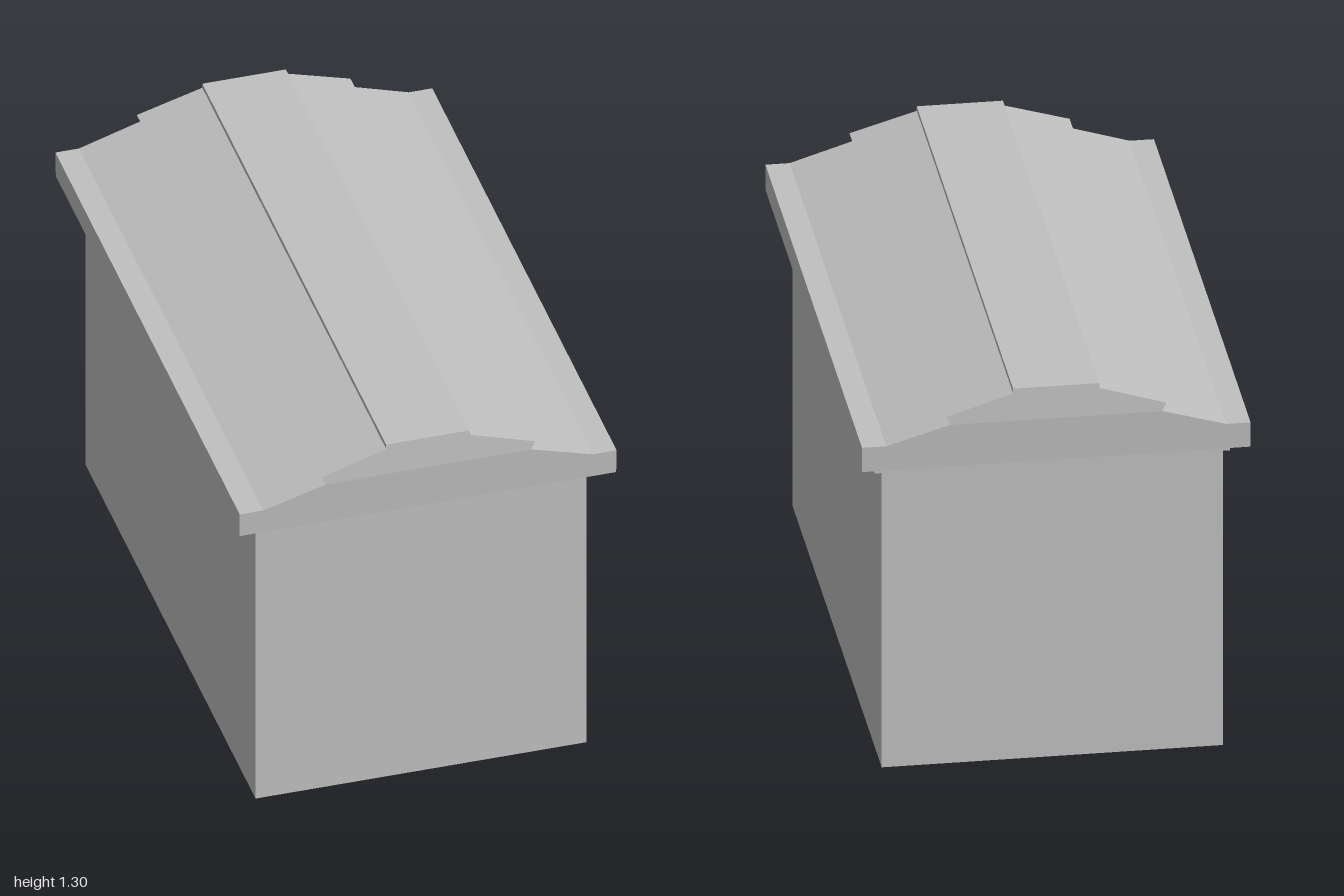
import * as THREE from 'three';

export function createModel() {
  const model = new THREE.Group();
  const grey = new THREE.MeshStandardMaterial({ color: 0xc0c0c0 });
  grey.name = 'light grey';

  function add(name, geometry, x = 0, y = 0, z = 0) {
    const mesh = new THREE.Mesh(geometry, grey);
    mesh.name = name;
    mesh.position.set(x, y, z);
    model.add(mesh);
  }

  // Plain box body
  add('body', new THREE.BoxGeometry(1.054, 1.045, 1.836), 0, 0.5225, 0.002);

  // Narrow ledge under each eave
  for (const side of [-1, 1]) {
    add(side > 0 ? 'leftLedge' : 'rightLedge',
      new THREE.BoxGeometry(0.024, 0.045, 1.836), side * 0.537, 1.0225, 0.002);
  }

  // Mirrored roof profile run front to back; its gable ends bulge at the seam height
  const seam = 1.19;
  function roofTier(name, half) {
    const mirrored = half.map(([x, y]) => [-x, y]).reverse();
    const shape = new THREE.Shape([...half, ...mirrored].map(([x, y]) => new THREE.Vector2(x, y)));
    const geometry = new THREE.ExtrudeGeometry(shape, { depth: 2, bevelEnabled: false });
    geometry.translate(0, 0, -1);
    const p = geometry.attributes.position;
    for (let i = 0; i < p.count; i++) {
      const reach = 1 - 0.06 * Math.abs(p.getY(i) - seam);
      p.setZ(i, Math.sign(p.getZ(i)) * reach);
    }
    geometry.computeVertexNormals();
    add(name, geometry);
  }

  // Eaves and lower slopes
  roofTier('lowerRoof', [[0.6, 1.045], [0.6, 1.13], [0.525, 1.13], [0.327, seam]]);
  // Overlapping upper slopes and flat ridge cap
  roofTier('upperRoof', [[0.327, seam], [0.34, 1.217], [0.133, 1.28], [0.133, 1.296]]);

  return model;
}
